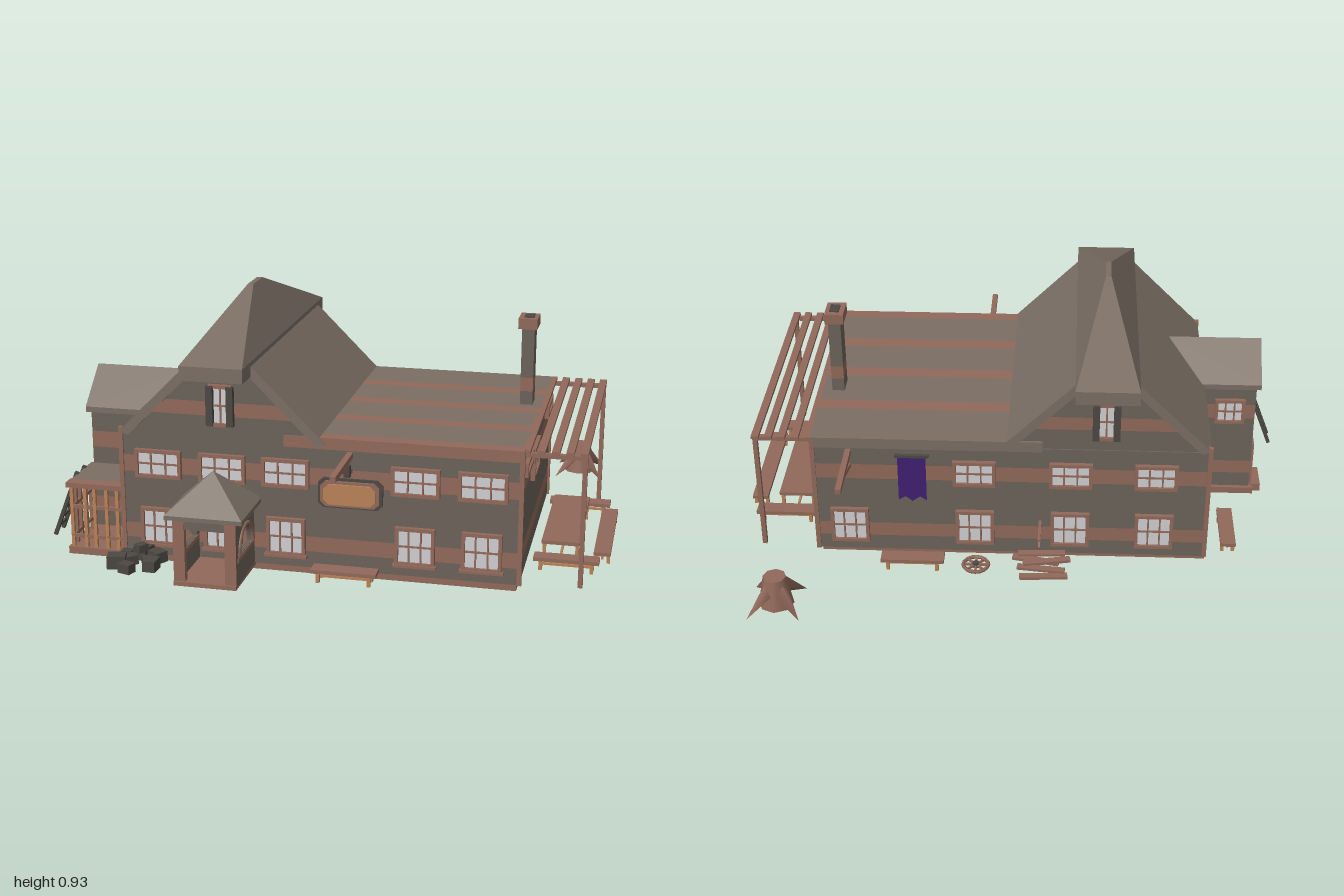
import * as THREE from 'three';
import { ConvexGeometry } from 'three/addons/geometries/ConvexGeometry.js';

const mat = (name, color, side = THREE.FrontSide) => {
  const m = new THREE.MeshStandardMaterial({ color, side });
  m.name = name;
  return m;
};

export function createModel() {
  const root = new THREE.Group();
  root.name = 'inn';
  const wall = mat('wallStone', 0x6b6259), roof = mat('roofSlate', 0x7a6e64), wood = mat('wood', 0x91695a);
  const trim = mat('honeyWood', 0xb98257), pane = mat('windowPane', 0xcfcfd2);
  const purple = mat('bannerCloth', 0x3f1f70, THREE.DoubleSide), dark = mat('darkStone', 0x4c4843);

  const add = (name, geo, m, parent = root) => {
    const mesh = new THREE.Mesh(geo, m);
    mesh.name = name;
    parent.add(mesh);
    return mesh;
  };
  // box given by its min and max on each axis
  const box = (name, m, x0, x1, y0, y1, z0, z1, parent = root) => {
    const b = add(name, new THREE.BoxGeometry(x1 - x0, y1 - y0, z1 - z0), m, parent);
    b.position.set((x0 + x1) / 2, (y0 + y1) / 2, (z0 + z1) / 2);
    return b;
  };
  // square bar between two points
  const bar = (name, m, a, b, t, parent = root) => {
    const p = new THREE.Vector3(...a), q = new THREE.Vector3(...b);
    const s = add(name, new THREE.BoxGeometry(t, t, p.distanceTo(q)), m, parent);
    s.position.copy(p).add(q).multiplyScalar(0.5);
    s.lookAt(q);
    return s;
  };
  const shapeOf = (pts) => new THREE.Shape(pts.map(p => new THREE.Vector2(...p)));
  const extrude = (shape, depth) => new THREE.ExtrudeGeometry(shape, { depth, bevelEnabled: false, curveSegments: 10 });
  const prismZ = (name, m, pts, z0, z1) => {
    const p = add(name, extrude(shapeOf(pts), z1 - z0), m);
    p.position.z = z0;
    return p;
  };
  const hull = (name, m, pts) => add(name, new ConvexGeometry(pts.map(p => new THREE.Vector3(...p))), m);

  // Foundation
  box('foundation', wood, -0.69, 0.7, 0, 0.026, -0.365, 0.54);
  box('wingFoundation', wood, -0.9, -0.6, 0, 0.026, 0.06, 0.55);
  box('wingStep', wood, -0.93, -0.89, 0, 0.03, 0.08, 0.2);

  // Walls in alternating courses
  const courses = [[0.026, 0.085, wall], [0.085, 0.14, wood], [0.14, 0.33, wall], [0.33, 0.39, wood], [0.39, 0.495, wall]];
  const banded = (name, x0, x1, z0, z1, top) => courses.forEach(([a, b, m]) => {
    box(name, m, x0, x1, a, Math.min(b, top), z0, z1);
  });
  banded('mainWall', -0.685, 0.71, -0.385, 0.55, 0.47);
  banded('wingWall', -0.885, -0.6, 0.075, 0.32, 0.48);

  // Flat roof in bands
  const cuts = [-0.39, -0.19, -0.13, 0.045, 0.105, 0.27, 0.33, 0.505, 0.555];
  cuts.slice(1).forEach((z, i) => box('flatRoofBand', i % 2 ? wood : roof, -0.1, 0.715, 0.46, 0.5, cuts[i], z));

  // Gable: courses, sloping slabs and overhanging hipped cap
  const gx = -0.32, half = y => 0.83 - y;
  [[0.46, 0.55, wall], [0.55, 0.6, wood], [0.6, 0.73, wall]].forEach(([a, b, m]) => prismZ('gableCourse', m,
    [[gx - half(a), a], [gx + half(a), a], [gx + half(b), b], [gx - half(b), b]], -0.38, 0.55));
  for (const s of [-1, 1]) {
    const pts = [[gx + s * 0.37, 0.475], [gx + s * 0.11, 0.735], [gx + s * 0.11, 0.69], [gx + s * 0.335, 0.465]];
    prismZ('gableRoof', roof, s > 0 ? pts.reverse() : pts, -0.39, 0.56);
  }
  const cap = [];
  for (const x of [-0.43, -0.21]) for (const z of [-0.46, 0.66]) for (const y of [0.7, 0.75]) cap.push([x, y, z]);
  for (const x of [-0.33, -0.31]) for (const z of [0.045, 0.165]) cap.push([x, 0.93, z]);
  hull('ridgeCap', roof, cap);

  // Side wing roof with ridge running into the gable
  const wr = [];
  for (const [x, e] of [[-0.9, -0.9], [-0.55, -0.6]])
    wr.push([x, 0.61, 0.195], [e, 0.485, 0.058], [e, 0.485, 0.335], [e, 0.465, 0.058], [e, 0.465, 0.335]);
  hull('wingRoof', roof, wr);

  // Windows and doors, built facing +z
  const window_ = (x, y, z, w, h, ry = 0, nx = 3, ny = 2, frame = wood) => {
    const g = new THREE.Group();
    g.name = 'window';
    const t = 0.012, W = w / 2, H = h / 2;
    box('pane', pane, -W, W, -H, H, 0, 0.006, g);
    for (const s of [-1, 1]) {
      box('frameSide', frame, s * W - t / 2, s * W + t / 2, -H - t / 2, H + t / 2, 0, 0.016, g);
      box('frameRail', frame, -W, W, s * H - t / 2, s * H + t / 2, 0, 0.016, g);
    }
    for (let i = 1; i < nx; i++) box('mullion', wood, -W + w * i / nx - 0.003, -W + w * i / nx + 0.003, -H, H, 0, 0.011, g);
    for (let i = 1; i < ny; i++) box('crossbar', wood, -W, W, -H + h * i / ny - 0.003, -H + h * i / ny + 0.003, 0, 0.011, g);
    g.position.set(x, y, z);
    g.rotation.y = ry;
    root.add(g);
    return g;
  };
  for (const x of [-0.55, -0.32, -0.095, 0.355, 0.583]) {
    window_(x, 0.365, 0.55, 0.155, 0.09);
    window_(x, 0.135, 0.55, 0.125, 0.125, 0, 3, 2);
    box('sill', wood, x - 0.075, x + 0.075, 0.062, 0.072, 0.55, 0.572);
  }
  for (const x of [0.14, -0.2, -0.5]) window_(x, 0.365, -0.385, 0.14, 0.09, Math.PI);
  for (const x of [0.59, 0.14, -0.2, -0.5]) window_(x, 0.135, -0.385, 0.125, 0.13, Math.PI);
  for (const [z, ry] of [[0.55, 0], [-0.38, Math.PI]]) {
    const g = window_(gx, 0.59, z, 0.07, 0.135, ry, 2, 2);
    for (const s of [-1, 1]) box('shutter', dark, s * 0.036 - 0.012, s * 0.036 + 0.012, -0.07, 0.07, 0.005, 0.024, g);
  }
  window_(0.71, 0.365, 0.2, 0.165, 0.1, Math.PI / 2, 4, 2);
  for (const z of [0.427, -0.25]) window_(0.71, 0.42, z, 0.16, 0.035, Math.PI / 2, 1, 1);
  window_(-0.79, 0.365, 0.075, 0.1, 0.09, Math.PI);
  box('wingDoor', wood, -0.895, -0.88, 0.03, 0.21, 0.085, 0.19);
  for (const x of [-0.685, 0.71]) for (const z of [-0.383, 0.548])
    box('cornerPost', wood, x - 0.008, x + 0.008, 0.026, 0.49, z - 0.008, z + 0.008);
  box('eaveTrim', wood, 0.705, 0.718, 0.485, 0.497, -0.39, 0.555);

  // Front porch with arched sides
  const side = shapeOf([[-0.77, 0.026], [-0.55, 0.026], [-0.55, 0.26], [-0.77, 0.26]]);
  const arch = new THREE.Path();
  arch.moveTo(-0.735, 0.12);
  arch.absarc(-0.655, 0.125, 0.08, Math.PI, 0, true);
  arch.lineTo(-0.575, 0.12);
  side.holes.push(arch);
  for (const x of [-0.43, -0.23]) {
    const p = add('porchSide', extrude(side, 0.02), wall);
    p.rotation.y = Math.PI / 2;
    p.position.x = x;
    const ring = add('porchArchTrim', new THREE.TorusGeometry(0.084, 0.008, 4, 12, Math.PI), wood);
    ring.rotation.y = Math.PI / 2;
    ring.position.set(x + (x < -0.32 ? 0 : 0.02), 0.125, 0.655);
    box('porchRail', wood, x - 0.003, x + 0.023, 0.105, 0.12, 0.56, 0.755);
  }
  for (const x of [-0.41, -0.23]) box('porchPost', wood, x - 0.02, x + 0.02, 0.026, 0.26, 0.75, 0.772);
  box('porchLintel', wall, -0.41, -0.23, 0.215, 0.26, 0.75, 0.77);
  box('porchFloor', wood, -0.43, -0.21, 0.015, 0.03, 0.54, 0.78);
  const pr = [[gx, 0.39, 0.655]];
  for (const x of [-0.455, -0.185]) for (const z of [0.54, 0.785]) for (const y of [0.25, 0.265]) pr.push([x, y, z]);
  hull('porchRoof', roof, pr);

  // Side lean-to with slatted rails
  box('leanToRoof', roof, -0.895, -0.68, 0.25, 0.268, 0.32, 0.505);
  box('leanToRoofEdge', wood, -0.9, -0.68, 0.25, 0.268, 0.505, 0.552);
  for (const x of [-0.885, -0.835, -0.8, -0.755, -0.715]) box('leanToPost', trim, x - 0.006, x + 0.006, 0.026, 0.25, 0.53, 0.542);
  for (const z of [0.36, 0.41, 0.46, 0.5]) box('leanToSlat', wood, -0.892, -0.88, 0.026, 0.25, z - 0.006, z + 0.006);
  for (const y of [0.06, 0.17]) {
    box('leanToRail', wood, -0.89, -0.69, y, y + 0.012, 0.53, 0.542);
    box('leanToSideRail', wood, -0.892, -0.88, y, y + 0.012, 0.34, 0.54);
  }

  // Ladder
  for (const z of [0.385, 0.455]) bar('ladderRail', dark, [-0.99, 0.03, z], [-0.895, 0.275, z], 0.013);
  for (let i = 1; i < 7; i++) bar('ladderRung', dark, [-0.99 + 0.0136 * i, 0.03 + 0.035 * i, 0.385], [-0.99 + 0.0136 * i, 0.03 + 0.035 * i, 0.455], 0.009);

  // Chimney
  [[0.49, 0.55, wall], [0.55, 0.6, wood], [0.6, 0.78, wall]].forEach(([a, b, m]) => box('chimney', m, 0.635, 0.68, a, b, -0.065, 0.01));
  box('chimneyCap', wood, 0.622, 0.69, 0.78, 0.818, -0.077, 0.02);
  box('chimneyFlue', dark, 0.64, 0.675, 0.815, 0.821, -0.055, 0);

  // Pergola
  for (const x of [0.72, 0.768, 0.815, 0.862, 0.908]) box('pergolaSlat', wood, x - 0.013, x + 0.013, 0.488, 0.5, -0.39, 0.535);
  for (const z of [-0.365, 0.52]) {
    box('pergolaBeam', wood, 0.71, 0.92, 0.474, 0.488, z - 0.01, z + 0.01);
    box('pergolaPost', wood, 0.904, 0.92, 0.026, 0.49, z - 0.009, z + 0.009);
  }

  // Tables and benches
  const bench = (name, x0, x1, z0, z1, top) => {
    box(name, wood, x0, x1, top - 0.013, top, z0, z1);
    const alongX = x1 - x0 > z1 - z0, i = 0.025, j = 0.008;
    const [a, b] = alongX ? [i, j] : [j, i];
    for (const x of [x0 + a, x1 - a]) for (const z of [z0 + b, z1 - b]) box(name + 'Leg', trim, x - 0.006, x + 0.006, 0.026, top - 0.012, z - 0.006, z + 0.006);
    if (alongX) box(name + 'Brace', trim, x0 + a, x1 - a, 0.038, 0.046, (z0 + z1) / 2 - 0.004, (z0 + z1) / 2 + 0.004);
    else box(name + 'Brace', trim, (x0 + x1) / 2 - 0.004, (x0 + x1) / 2 + 0.004, 0.038, 0.046, z0 + b, z1 - b);
  };
  bench('table', 0.76, 0.89, -0.16, 0.32, 0.105);
  bench('longBench', 0.94, 0.998, -0.14, 0.31, 0.072);
  for (const z of [-0.21, 0.375]) bench('endBench', 0.74, 0.965, z - 0.028, z + 0.028, 0.072);
  bench('frontBench', 0.02, 0.245, 0.62, 0.68, 0.072);
  bench('backBench', 0.245, 0.47, -0.515, -0.46, 0.072);
  bench('sideBench', -0.8, -0.745, -0.37, -0.145, 0.072);

  // Sign board and projecting poles
  const oct = (w, h, c) => shapeOf([[-w + c, -h], [w - c, -h], [w, -h + c], [w, h - c], [w - c, h], [-w + c, h], [-w, h - c], [-w, -h + c]]);
  [[0.112, 0.053, 0.555, dark], [0.102, 0.045, 0.566, wood], [0.09, 0.036, 0.573, trim]].forEach(([w, h, z, m]) =>
    add('signBoard', extrude(oct(w, h, 0.018), 0.009), m).position.set(0.133, 0.31, z));
  for (const [x, z0, z1] of [[0.13, 0.54, 0.81], [0.583, -0.38, -0.64]]) {
    const d = Math.sign(z1);
    bar('pole', wood, [x, 0.445, z0], [x, 0.445, z1], 0.02);
    bar('poleBrace', wood, [x, 0.385, z0], [x, 0.435, z0 + d * 0.16], 0.014);
  }
  box('lantern', dark, 0.12, 0.142, 0.385, 0.425, 0.59, 0.612);

  // Banner with notched hem
  box('bannerRod', dark, 0.3, 0.42, 0.43, 0.44, -0.4, -0.388);
  add('banner', new THREE.ShapeGeometry(shapeOf([[0.31, 0.25], [0.335, 0.265], [0.36, 0.245], [0.385, 0.265], [0.41, 0.25], [0.41, 0.435], [0.31, 0.435]])), purple).position.z = -0.395;

  // Tree stump with spreading roots
  const stump = new THREE.Group();
  stump.name = 'treeStump';
  add('trunk', new THREE.CylinderGeometry(0.04, 0.062, 0.112, 8), wood, stump).position.y = 0.082;
  for (let i = 0; i < 4; i++) {
    const root_ = add('root', new THREE.ConeGeometry(0.033, 0.13, 4), wood, stump), a = Math.PI / 4 + i * Math.PI / 2;
    root_.rotation.set(0, -a, -1.0, 'YXZ');
    root_.position.set(Math.cos(a) * 0.075, 0.055, Math.sin(a) * 0.075);
    root_.rotation.z = -2.2;
  }
  stump.position.set(0.81, 0, -0.71);
  root.add(stump);

  // Cart wheel lying flat
  const wheel = new THREE.Group();
  wheel.name = 'cartWheel';
  add('rim', new THREE.TorusGeometry(0.045, 0.007, 5, 16), wood, wheel).rotation.x = Math.PI / 2;
  add('hub', new THREE.CylinderGeometry(0.012, 0.012, 0.02, 8), dark, wheel);
  for (let i = 0; i < 4; i++) add('spoke', new THREE.BoxGeometry(0.09, 0.007, 0.007), wood, wheel).rotation.y = i * Math.PI / 4;
  wheel.position.set(0.133, 0.035, -0.48);
  root.add(wheel);

  // Plank pile with a bracket above
  [[-0.11, -0.54, 0.06], [-0.1, -0.505, -0.12], [-0.12, -0.47, 0.18], [-0.08, -0.445, -0.2], [-0.1, -0.415, 0.05]].forEach(([x, z, r], i) => {
    const p = box('plank', wood, x - 0.085, x + 0.085, 0.03, 0.04, z - 0.013, z + 0.013);
    p.rotation.y = r;
    p.position.y += (i % 3) * 0.007;
  });
  bar('bracketArm', wood, [-0.095, 0.215, -0.46], [-0.095, 0.215, -0.575], 0.01);
  bar('bracketBrace', wood, [-0.095, 0.21, -0.52], [-0.095, 0.185, -0.575], 0.007);

  // Heap of cut stones
  [[-0.66, 0.6], [-0.6, 0.59], [-0.545, 0.61], [-0.63, 0.655], [-0.57, 0.65], [-0.665, 0.69], [-0.54, 0.69], [-0.615, 0.73], [-0.6, 0.62]].forEach(([x, z], i) => {
    const s = 0.02 + (i * 7 % 4) * 0.004, y = i === 8 ? 0.075 : 0.026 + s * 0.7;
    const b = box('stone', dark, x - s, x + s, y - s * 0.7, y + s * 0.7, z - s * 0.8, z + s * 0.8);
    b.rotation.y = i * 1.3;
  });
  return root;
}
